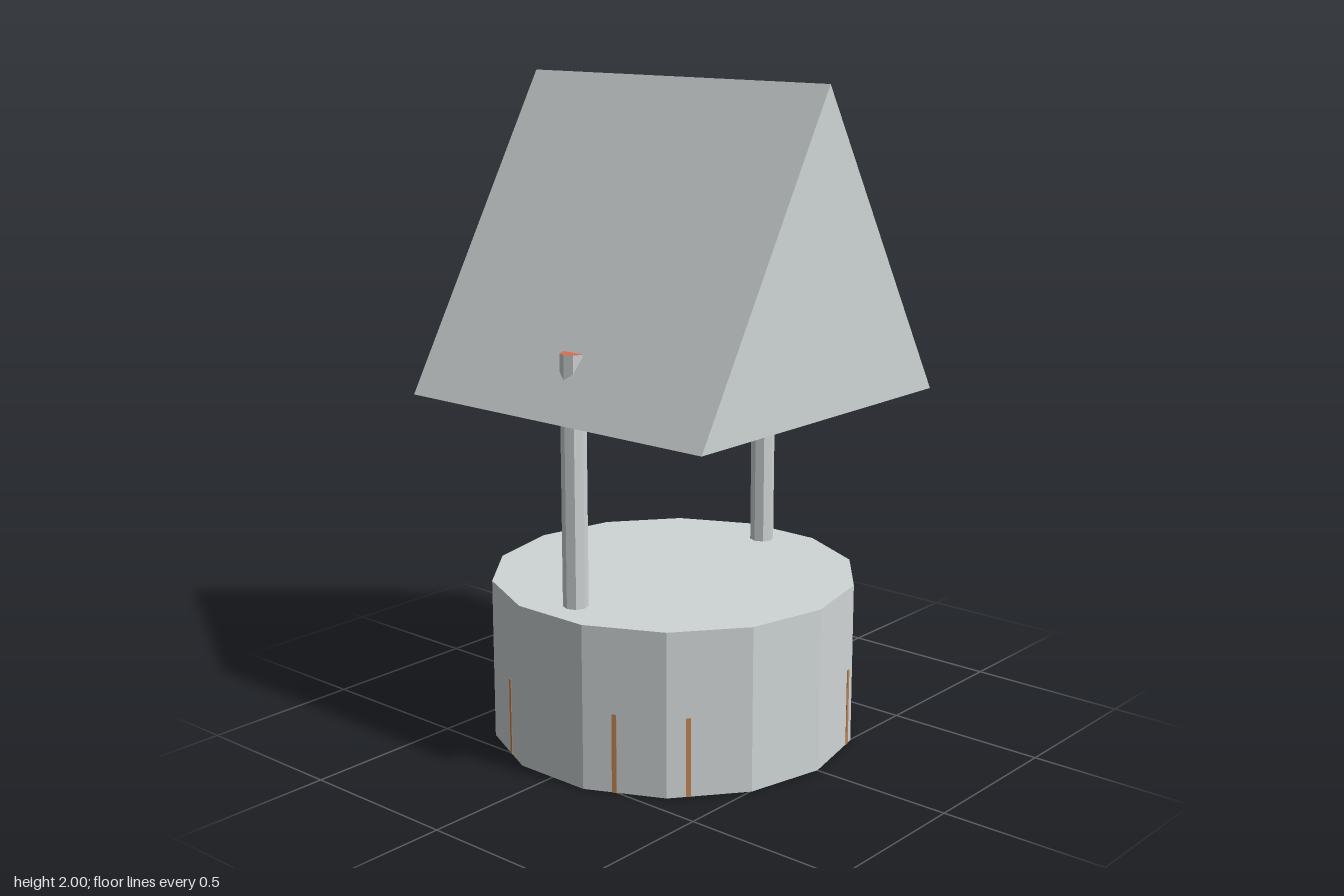
import * as THREE from 'three';

export function createModel() {
  const mat = (name, color) => {
    const m = new THREE.MeshStandardMaterial({ color, flatShading: true });
    m.name = name;
    return m;
  };
  const stone = mat('pale stone', 0xcfd4d4);
  const wood = mat('brown wood', 0xbf8350);
  const red = mat('post cap red', 0xdb6c50);

  const group = new THREE.Group();
  group.name = 'well';
  const add = (name, geometry, material, x = 0, y = 0, z = 0) => {
    const mesh = new THREE.Mesh(geometry, material);
    mesh.name = name;
    mesh.position.set(x, y, z);
    group.add(mesh);
    return mesh;
  };

  // Fourteen-sided solid base
  const radius = 0.56, sides = 14;
  add('base', new THREE.CylinderGeometry(radius, radius, 0.5, sides), stone, 0, 0.25, 0);

  // Posts, their painted tops showing through the roof slopes
  for (const s of [-1, 1]) {
    add(s > 0 ? 'leftPost' : 'rightPost', new THREE.CylinderGeometry(0.0375, 0.0375, 0.76, 8),
      [stone, red, stone], s * 0.4375, 0.87, 0);
  }

  // Solid gabled roof
  const gable = new THREE.Shape([
    new THREE.Vector2(-0.54, 1.065), new THREE.Vector2(0.54, 1.065), new THREE.Vector2(0, 2)]);
  const roof = new THREE.ExtrudeGeometry(gable, { depth: 1.12, bevelEnabled: false });
  add('roof', roof.translate(0, 0, -0.56), stone);

  // Thin upright slats showing on the base walls, repeated half a turn round
  const step = Math.PI * 2 / sides;
  for (const deg of [22.5, 45, 67.5, 112.5, 135]) {
    for (const turn of [0, 180]) {
      const a = THREE.MathUtils.degToRad(deg + turn);
      const face = (Math.floor(a / step) + 0.5) * step;
      const r = radius * Math.cos(step / 2) / Math.cos(a - face);
      const slat = add('wallSlat', new THREE.BoxGeometry(0.014, 0.24, 0.004), wood,
        Math.sin(a) * r, 0.12, Math.cos(a) * r);
      slat.rotation.y = face;
    }
  }

  // Thin slats under the base
  const lines = [[0.38, -0.13, -0.24, 0.43], [0, -0.13, -0.45, 0.28], [-0.38, -0.13, -0.5, -0.02]];
  for (const [x1, z1, x2, z2] of lines) {
    const length = Math.hypot(x2 - x1, z2 - z1);
    const slat = add('floorSlat', new THREE.BoxGeometry(0.018, 0.002, length), wood,
      (x1 + x2) / 2, 0, (z1 + z2) / 2);
    slat.rotation.y = Math.atan2(x2 - x1, z2 - z1);
  }
  return group;
}
